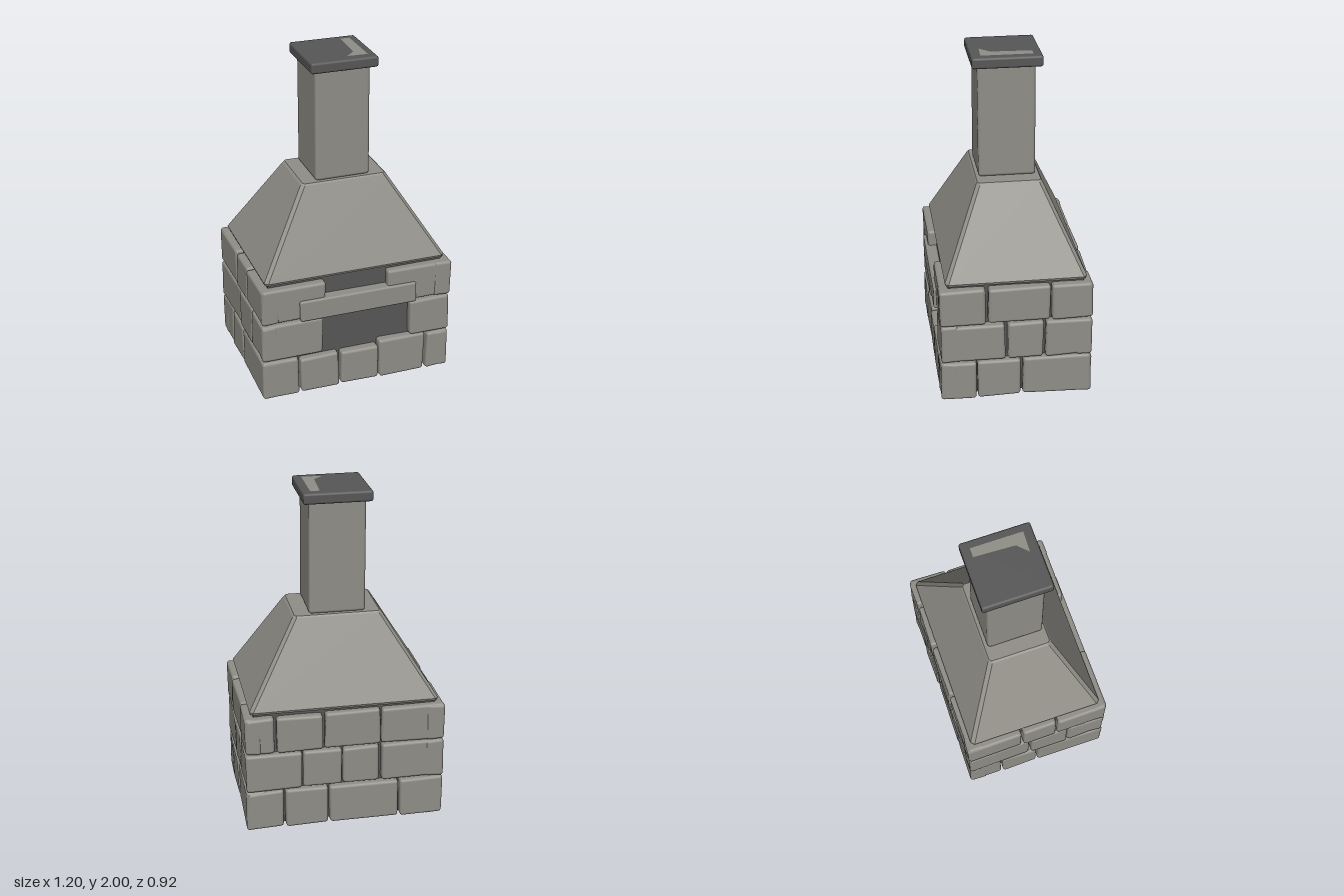
import * as THREE from 'three';
import { RoundedBoxGeometry } from 'three/addons/geometries/RoundedBoxGeometry.js';

const stoneMat = new THREE.MeshStandardMaterial({ color: 0x908e87 });
stoneMat.name = 'warm grey stone';
const darkMat = new THREE.MeshStandardMaterial({ color: 0x575757 });
darkMat.name = 'dark soot grey';

// small seeded generator for the uneven stone corners
let seed = 7;
const rand = () => {
  seed = (seed * 16807) % 2147483647;
  return seed / 2147483647 - 0.5;
};

// rounded block between two corners, with its eight corners nudged by up to wobble / 2
function block(name, mat, [x0, x1], [y0, y1], [z0, z1], radius, wobble = 0) {
  const w = x1 - x0, h = y1 - y0, d = z1 - z0;
  const geo = new RoundedBoxGeometry(w, h, d, 3, radius);
  const nudge = Array.from({ length: 8 }, () => [rand() * wobble, rand() * wobble, rand() * wobble]);
  const pos = geo.attributes.position;
  for (let i = 0; i < pos.count; i++) {
    const p = [pos.getX(i), pos.getY(i), pos.getZ(i)];
    const t = [p[0] / w + 0.5, p[1] / h + 0.5, p[2] / d + 0.5];
    nudge.forEach((n, c) => {
      const weight = (c & 1 ? t[0] : 1 - t[0]) * (c & 2 ? t[1] : 1 - t[1]) * (c & 4 ? t[2] : 1 - t[2]);
      for (let k = 0; k < 3; k++) p[k] += n[k] * weight;
    });
    pos.setXYZ(i, ...p);
  }
  geo.translate((x0 + x1) / 2, (y0 + y1) / 2, (z0 + z1) / 2);
  const mesh = new THREE.Mesh(geo, mat);
  mesh.name = name;
  return mesh;
}

// solid lofted through rectangles with cut corners: [y, x0, x1, z0, z1, cut]
function loftedHood(levels) {
  const loops = levels.map(([y, x0, x1, z0, z1, c]) => [
    [x0 + c, y, z1], [x1 - c, y, z1], [x1, y, z1 - c], [x1, y, z0 + c],
    [x1 - c, y, z0], [x0 + c, y, z0], [x0, y, z0 + c], [x0, y, z1 - c],
  ]);
  const out = [];
  for (let l = 0; l < loops.length - 1; l++) {
    const a = loops[l], b = loops[l + 1];
    for (let i = 0; i < 8; i++) {
      const j = (i + 1) % 8;
      out.push(a[i], a[j], b[j], a[i], b[j], b[i]);
    }
  }
  const bottom = loops[0], top = loops[loops.length - 1];
  for (let i = 1; i < 7; i++) {
    out.push(top[0], top[i], top[i + 1], bottom[0], bottom[i + 1], bottom[i]);
  }
  const geo = new THREE.BufferGeometry();
  geo.setAttribute('position', new THREE.Float32BufferAttribute(out.flat(), 3));
  geo.computeVertexNormals();
  return geo;
}

// stone courses: height range, then the spans along each wall
const F = 0.442, B = -0.457, S = 0.597;
const courses = [
  {
    y: [0.006, 0.252],
    front: [[-S, -0.375], [-0.365, -0.12, 0.232], [-0.105, 0.13, 0.232], [0.14, 0.435, 0.26], [0.45, S]],
    back: [[-S, -0.335], [-0.325, 0.095], [0.105, 0.365], [0.375, S]],
    right: [[0.235, F], [-0.035, 0.222], [B, -0.05]],
    left: [[0.005, F], [-0.235, -0.005], [B, -0.245]],
  },
  {
    y: [0.262, 0.498],
    front: [[-S, -0.22], [0.34, S]],
    back: [[-S, -0.215], [-0.205, 0.015], [0.025, 0.255], [0.265, S]],
    right: [[0.385, F], [0.06, 0.38], [-0.168, 0.042], [B, -0.182]],
    left: [[0.205, F], [-0.045, 0.195], [B, -0.055]],
  },
  {
    y: [0.51, 0.735],
    front: [[-S, -0.205], [0.19, 0.558]],
    back: [[-S, -0.22], [-0.21, 0.125], [0.14, 0.41], [0.425, 0.588]],
    right: [[0.175, F], [-0.205, 0.158], [B, -0.216]],
    left: [[0.13, F], [-0.1, 0.118], [B, -0.112]],
  },
];

export function createModel() {
  seed = 7;
  const model = new THREE.Group();
  model.name = 'stoneFireplace';

  // dark firebox core seen through the opening and the joints
  const core = new THREE.Mesh(new THREE.BoxGeometry(1.09, 0.74, 0.8), darkMat);
  core.position.set(0, 0.39, -0.01);
  core.name = 'fireboxCore';
  model.add(core);

  // masonry walls
  const masonry = new THREE.Group();
  masonry.name = 'masonry';
  const stone = (name, x, y, z) => masonry.add(block(name, stoneMat, x, y, z, 0.018, 0.012));
  for (const { y, front, back, right, left } of courses) {
    const depth = () => 0.1 + rand() * 0.03;
    for (const [a, b, top] of front) stone('frontStone', [a, b], [y[0], top ?? y[1]], [F - depth(), F]);
    for (const [a, b] of back) stone('backStone', [a, b], y, [B, B + depth()]);
    for (const [a, b] of right) {
      // a narrow span is only the end of a front stone
      if (b - a > 0.1) stone('rightStone', [S - depth(), S], y, [a, b]);
    }
    for (const [a, b] of left) stone('leftStone', [-S, -S + depth()], y, [a, b]);
  }
  model.add(masonry);

  // lintel over the opening
  model.add(block('lintel', stoneMat, [-0.368, 0.364], [0.504, 0.638], [0.34, 0.458], 0.012, 0.008));

  // tapered smoke hood
  const hood = new THREE.Mesh(loftedHood([
    [0.75, -0.56, 0.56, -0.42, 0.4, 0.015],
    [0.765, -0.565, 0.565, -0.426, 0.406, 0.02],
    [1.25, -0.265, 0.269, -0.204, 0.186, 0.02],
    [1.26, -0.252, 0.258, -0.196, 0.178, 0.012],
  ]), stoneMat);
  hood.name = 'smokeHood';
  model.add(hood);

  // chimney shaft and cap slab
  model.add(block('chimneyShaft', stoneMat, [-0.17, 0.167], [1.255, 1.95], [-0.175, 0.165], 0.02, 0.006));
  model.add(block('chimneyCap', darkMat, [-0.203, 0.203], [1.934, 1.999], [-0.212, 0.199], 0.014));

  // pale patch on top of the cap
  const patchShape = new THREE.Shape(
    [[0.1, 0.16], [0.155, 0.16], [0.155, -0.145], [0.03, -0.14], [0.09, -0.08]].map(p => new THREE.Vector2(...p)));
  const patch = new THREE.Mesh(new THREE.ShapeGeometry(patchShape), stoneMat);
  patch.rotation.x = -Math.PI / 2;
  patch.position.y = 2.0005;
  patch.name = 'capPatch';
  model.add(patch);

  return model;
}
